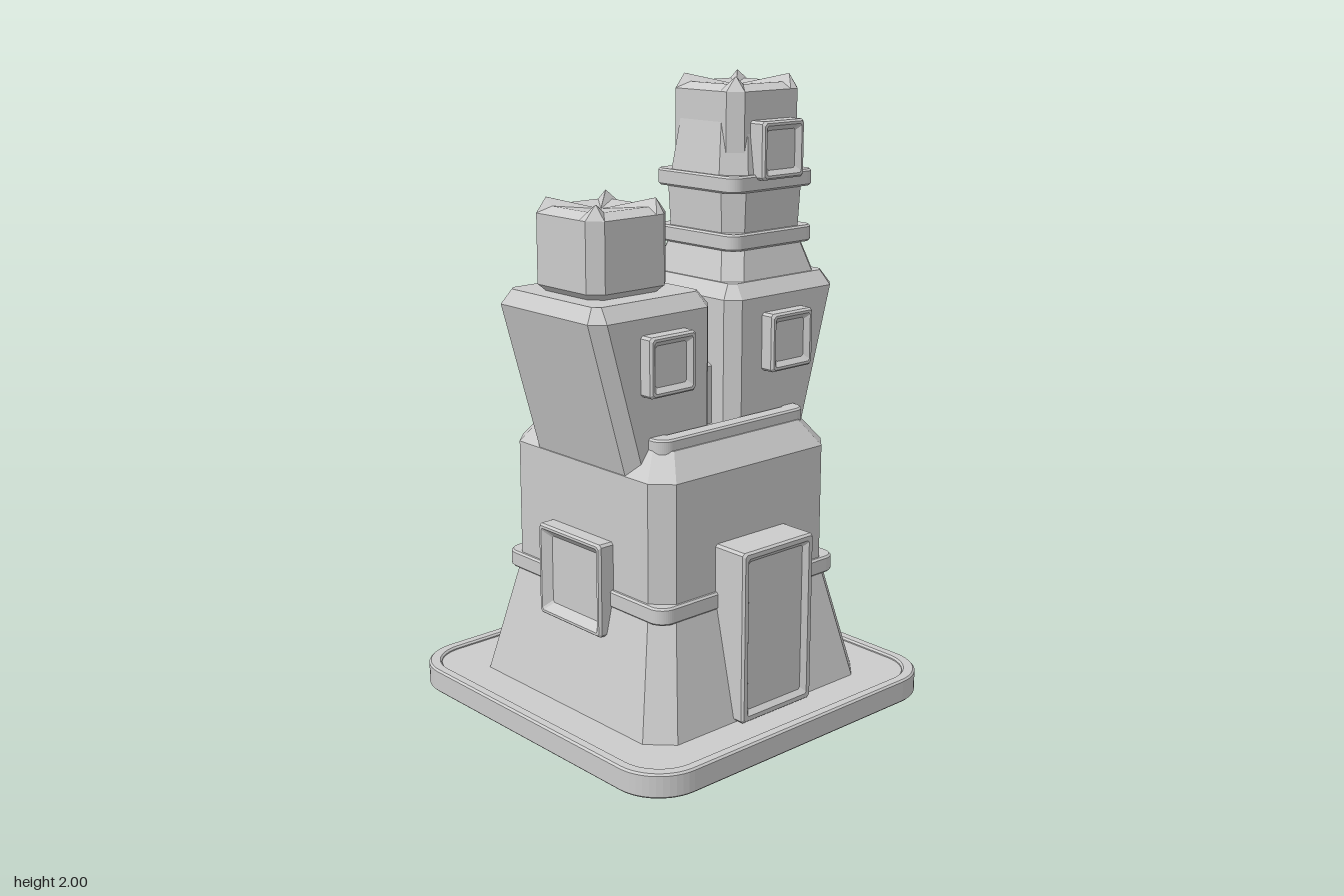
import * as THREE from 'three';

const material = new THREE.MeshStandardMaterial({ color: 0xcccccc });

// Cross-section: rectangle with cut corners; the points between corners can dip
function section([y, hx, hz, c, cz = 0, dip = 0]) {
  const d = 0.03, pts = [];
  [[1, -1], [-1, -1], [-1, 1], [1, 1]].forEach(([sx, sz], k) => {
    const corner = [
      [hx, hz - c - d, y + dip], [hx, hz - c, y],
      [hx - c, hz, y], [hx - c - d, hz, y + dip],
    ].map(([x, z, h]) => new THREE.Vector3(sx * x, h, sz * z + cz));
    pts.push(...(k % 2 ? corner.reverse() : corner));
  });
  return pts;
}

// Faceted solid through levels of [y, halfX, halfZ, cornerCut, centreZ, dip]
function loft(levels, capDip = 0) {
  const rings = levels.map(section), v = [];
  const tri = (...p) => p.forEach((q) => v.push(q.x, q.y, q.z));
  const n = rings[0].length, last = rings.length - 1;
  const first = levels[0], end = levels[last];
  const low = new THREE.Vector3(0, first[0], first[4] || 0);
  const high = new THREE.Vector3(0, end[0] + capDip, end[4] || 0);
  for (let i = 0; i < n; i++) {
    const j = (i + 1) % n;
    for (let r = 0; r < last; r++) {
      const a = rings[r], b = rings[r + 1];
      tri(a[i], a[j], b[j]);
      tri(a[i], b[j], b[i]);
    }
    tri(rings[0][j], rings[0][i], low);
    tri(rings[last][i], rings[last][j], high);
  }
  const g = new THREE.BufferGeometry();
  g.setAttribute('position', new THREE.Float32BufferAttribute(v, 3));
  g.computeVertexNormals();
  return g;
}

// Rounded rectangle outline
function rounded(Type, hx, hz, r) {
  const s = new Type();
  s.absarc(hx - r, hz - r, r, 0, Math.PI / 2);
  s.absarc(-hx + r, hz - r, r, Math.PI / 2, Math.PI);
  s.absarc(-hx + r, -hz + r, r, Math.PI, Math.PI * 1.5);
  s.absarc(hx - r, -hz + r, r, Math.PI * 1.5, Math.PI * 2);
  s.closePath();
  return s;
}

// Flat plate or frame lying between two heights
function plate(hx, hz, r, y0, y1, wall = 0, bevel = 0.006) {
  const s = rounded(THREE.Shape, hx - bevel, hz - bevel, r);
  if (wall) s.holes.push(rounded(THREE.Path, hx - wall, hz - wall, Math.max(r - wall / 2, 0.02)));
  const g = new THREE.ExtrudeGeometry(s, {
    depth: y1 - y0 - 2 * bevel, bevelSize: bevel, bevelThickness: bevel, bevelSegments: 1, curveSegments: 6,
  });
  return g.rotateX(-Math.PI / 2).translate(0, y0 + bevel, 0);
}

// Framed panel with a sunken face, looking along +z
function panel(hw, hh, depth, rim, sink) {
  return loft([
    [-depth, hw, hh, 0.008],
    [-0.008, hw, hh, 0.008],
    [0, hw - 0.006, hh - 0.006, 0.008],
    [0, hw - rim, hh - rim, 0.006],
    [-sink, hw - rim - sink, hh - rim - sink, 0.006],
  ]).rotateX(Math.PI / 2);
}

// Block with four raised corner tips and a hollow top
function head(y, z) {
  return loft([
    [y, 0.135, 0.135, 0.035, z],
    [y + 0.02, 0.155, 0.155, 0.04, z],
    [y + 0.235, 0.155, 0.155, 0.04, z],
    [y + 0.28, 0.117, 0.117, 0.001, z, -0.025],
  ], -0.035);
}

export function createModel() {
  const model = new THREE.Group();
  const add = (name, geometry, x = 0, y = 0, z = 0, turn = 0) => {
    const m = new THREE.Mesh(geometry, material);
    m.name = name;
    m.position.set(x, y, z);
    m.rotation.y = turn;
    model.add(m);
  };

  // Base
  add('basePad', new THREE.BoxGeometry(0.78, 0.02, 0.78), 0, 0.01, 0);
  add('baseSlab', plate(0.605, 0.605, 0.15, 0.008, 0.078));
  add('baseRim', plate(0.615, 0.615, 0.15, 0.01, 0.088, 0.032));

  // Lower body, belt and upper body
  add('lowerBody', loft([[0.07, 0.46, 0.46, 0.075], [0.44, 0.375, 0.375, 0.06]]));
  add('bodyBelt', plate(0.383, 0.383, 0.045, 0.425, 0.48));
  add('upperBody', loft([
    [0.44, 0.37, 0.37, 0.06], [0.855, 0.37, 0.37, 0.06], [0.935, 0.31, 0.31, 0.045],
  ]));
  add('roofParapet', plate(0.305, 0.31, 0.04, 0.92, 0.97, 0.05));

  // Twin leaning towers and the bridge between them
  for (const s of [1, -1]) {
    const level = (y, inner, outer, hx, c) => [y, hx, (outer - inner) / 2, c, s * (inner + outer) / 2];
    add(s > 0 ? 'frontTower' : 'backTower', loft([
      level(0.7, 0.033, 0.324, 0.247, 0.04),
      level(1.335, 0.033, 0.506, 0.247, 0.04),
      level(1.38, 0.066, 0.476, 0.21, 0.02),
    ]));
    add('towerWindow', panel(0.09, 0.092, 0.1, 0.014, 0.015), 0.295, 1.193, s * 0.25, Math.PI / 2);
    add('bodyWindow', panel(0.15, 0.15, 0.12, 0.014, 0.025), 0, 0.483, s * 0.425, s > 0 ? 0 : Math.PI);
  }
  add('bridge', loft([[0.9, 0.155, 0.2, 0.04], [1.12, 0.155, 0.2, 0.04], [1.145, 0.115, 0.16, 0.03]]));
  add('frontHead', head(1.38, 0.28));

  // Stepped turret on the back tower
  const z = -0.275;
  add('turretNeck', loft([
    [1.36, 0.208, 0.208, 0.05, z], [1.48, 0.172, 0.172, 0.05, z],
    [1.52, 0.168, 0.168, 0.05, z], [1.66, 0.176, 0.176, 0.055, z],
  ]));
  for (const y of [1.472, 1.65]) add('turretBelt', plate(0.184, 0.184, 0.035, y, y + 0.053), 0, 0, z);
  add('turretTop', loft([[1.69, 0.174, 0.174, 0.064, z], [1.92, 0.142, 0.142, 0.055, z]]));
  add('turretHead', head(1.72, -0.28));
  add('turretWindow', panel(0.09, 0.09, 0.12, 0.014, 0.015), 0.215, 1.777, -0.28, Math.PI / 2);

  // Side doorway
  add('door', panel(0.15, 0.275, 0.2, 0.02, 0.015), 0.495, 0.357, 0, Math.PI / 2);

  return model;
}
